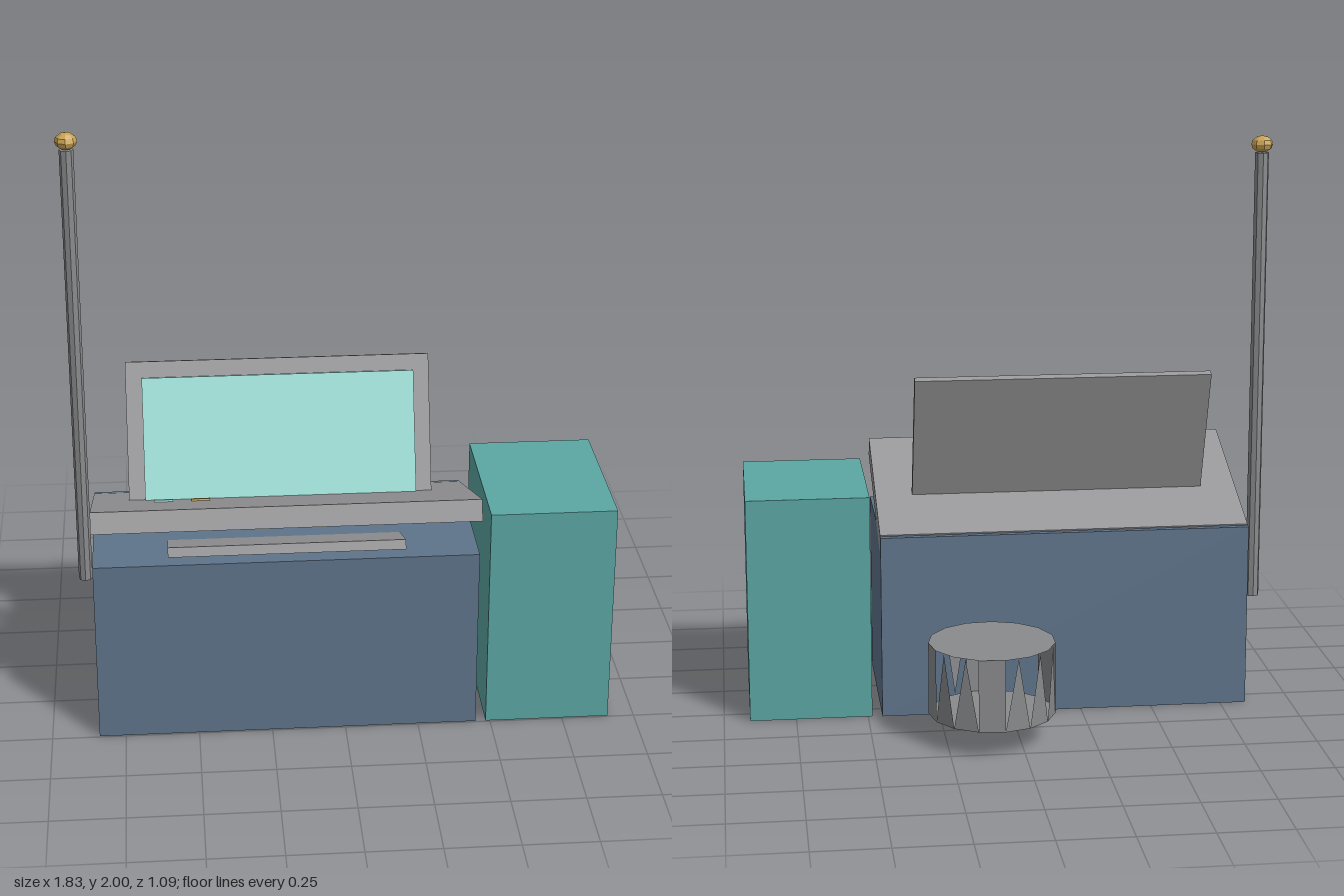
import * as THREE from 'three';

const mat = (name, color, double = false) => {
  const m = new THREE.MeshStandardMaterial({ color });
  m.name = name;
  m.flatShading = true;
  if (double) m.side = THREE.DoubleSide;
  return m;
};

// Box given by its min and max corners
function box(parent, name, material, x0, x1, y0, y1, z0, z1) {
  const mesh = new THREE.Mesh(new THREE.BoxGeometry(x1 - x0, y1 - y0, z1 - z0), material);
  mesh.position.set((x0 + x1) / 2, (y0 + y1) / 2, (z0 + z1) / 2);
  mesh.name = name;
  parent.add(mesh);
  return mesh;
}

// Open-sided drum: each wall facet is a full panel (Q), a tooth pointing up (U) or down (D), or a gap (-)
function drumGeometry(radius, height, facets) {
  const n = facets.length, pos = [];
  const p = (i, y) => {
    const a = (i / n) * Math.PI * 2;
    return [Math.cos(a) * radius, y, Math.sin(a) * radius];
  };
  const tri = (a, b, c) => pos.push(...a, ...b, ...c);
  const h = height / 2;
  for (let i = 0; i < n; i++) {
    tri([0, h, 0], p(i + 1, h), p(i, h));
    tri([0, -h, 0], p(i, -h), p(i + 1, -h));
    const f = facets[i];
    if (f === 'Q') {
      tri(p(i, -h), p(i, h), p(i + 1, h));
      tri(p(i, -h), p(i + 1, h), p(i + 1, -h));
    } else if (f === 'U') tri(p(i, -h), p(i + 0.5, h), p(i + 1, -h));
    else if (f === 'D') tri(p(i, h), p(i + 1, h), p(i + 0.5, -h));
  }
  const g = new THREE.BufferGeometry();
  g.setAttribute('position', new THREE.Float32BufferAttribute(pos, 3));
  g.computeVertexNormals();
  return g;
}

export function createModel() {
  const model = new THREE.Group();
  model.name = 'controlConsole';
  const blue = mat('slateBlue', 0x5f748b);
  const teal = mat('teal', 0x5ba7a3);
  const grey = mat('panelGrey', 0x98989a);
  const steel = mat('steelGrey', 0x8a8b8d, true);
  const glass = mat('paleAqua', 0x98dcd4);
  const gold = mat('gold', 0xc9a254);

  // Desk body and side cabinet
  box(model, 'deskBody', blue, -0.84, 0.45, 0, 0.645, -0.08, 0.495);
  box(model, 'sideCabinet', teal, 0.485, 0.91, 0, 0.79, -0.075, 0.495);

  // Tilted assembly: panel, tray, screen and buttons share one slope
  const tilt = new THREE.Group();
  tilt.name = 'tiltedConsole';
  tilt.position.set(0, 0.721, 0.24);
  tilt.rotation.x = -0.35;
  model.add(tilt);
  box(tilt, 'controlPanel', grey, -0.84, 0.45, -0.0365, 0.0365, -0.306, 0.306);
  box(tilt, 'underTray', grey, -0.59, 0.2, -0.128, -0.095, 0.006, 0.246);
  box(tilt, 'screenFrame', grey, -0.715, 0.32, 0, 0.507, -0.065, -0.04);
  box(tilt, 'screenGlass', glass, -0.66, 0.265, 0.02, 0.452, -0.04, -0.016);
  box(tilt, 'aquaButton', glass, -0.63, -0.567, 0.03, 0.043, 0.028, 0.05);
  box(tilt, 'goldButton', gold, -0.505, -0.442, 0.03, 0.043, 0.028, 0.05);

  // Mast with a flattened knob
  const mast = new THREE.Mesh(new THREE.CylinderGeometry(0.024, 0.024, 1.577, 8), steel);
  mast.position.set(-0.88, 0.365 + 1.577 / 2, 0.028);
  mast.name = 'mast';
  model.add(mast);
  const knob = new THREE.Mesh(new THREE.SphereGeometry(0.038, 8, 6), gold);
  knob.scale.y = 0.76;
  knob.position.set(-0.88, 1.971, 0.028);
  knob.name = 'mastKnob';
  model.add(knob);

  // Drum seat behind the desk
  const drum = new THREE.Mesh(drumGeometry(0.216, 0.25, 'Q-DQ--QQUUUQUUQ'), steel);
  drum.position.set(0.093, 0.22, -0.333);
  drum.name = 'drumSeat';
  model.add(drum);

  return model;
}
